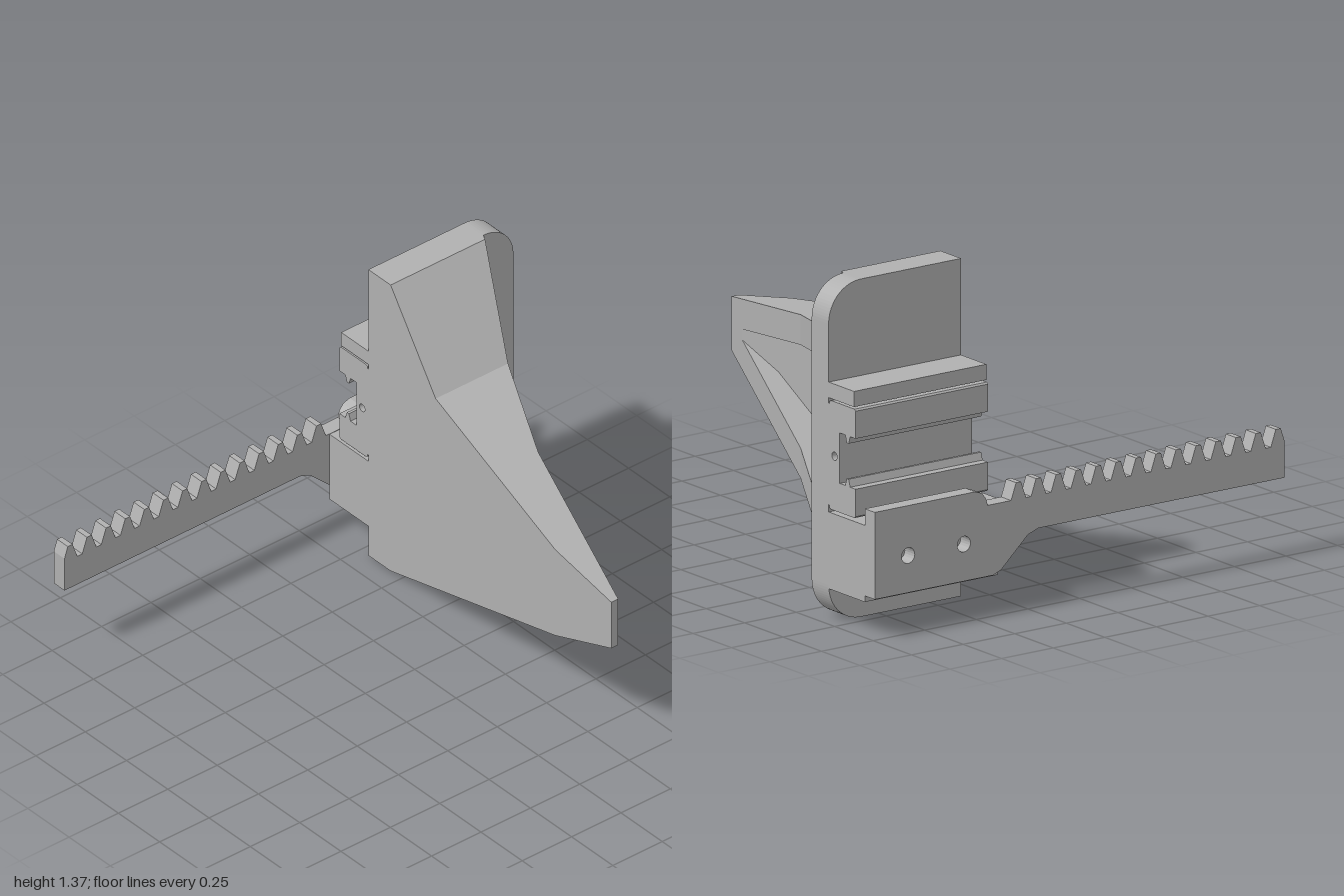
import * as THREE from 'three';

const BACK = -0.992, FRONT = -0.35;

export function createModel() {
  const group = new THREE.Group();
  const grey = new THREE.MeshStandardMaterial({ color: 0xb0b0b0, flatShading: true });
  grey.name = 'grey';

  const add = (name, geometry) => {
    const mesh = new THREE.Mesh(geometry, grey);
    mesh.name = name;
    group.add(mesh);
    return mesh;
  };
  const box = (name, x0, x1, y0, y1, z0, z1) =>
    add(name, new THREE.BoxGeometry(x1 - x0, y1 - y0, z1 - z0))
      .position.set((x0 + x1) / 2, (y0 + y1) / 2, (z0 + z1) / 2);
  const toShape = (pts) => new THREE.Shape(pts.map((p) => new THREE.Vector2(p[0], p[1])));
  const addHole = (shape, u, v, r) => {
    const hole = new THREE.Path();
    hole.absarc(u, v, r, 0, Math.PI * 2, true);
    shape.holes.push(hole);
  };
  const extrude = (shape, depth) =>
    new THREE.ExtrudeGeometry(shape, { depth, bevelEnabled: false, curveSegments: 10 });
  // Extrudes a (z, y) outline between two x positions
  const sideways = (name, shape, x0, x1) => {
    const g = extrude(shape, x1 - x0);
    g.rotateY(-Math.PI / 2);
    g.translate(x1, 0, 0);
    add(name, g);
  };

  // Mounting plate: rounded rear corners, counterbored screw holes
  const plateLayer = (name, x0, x1, holeRadius) => {
    const h = 1.365, r = 0.155, s = new THREE.Shape();
    s.moveTo(FRONT, 0);
    s.lineTo(FRONT, h);
    s.lineTo(BACK + r, h);
    s.absarc(BACK + r, h - r, r, Math.PI / 2, Math.PI, false);
    s.lineTo(BACK, r);
    s.absarc(BACK + r, r, r, Math.PI, Math.PI * 1.5, false);
    for (const [z, y] of [[-0.78, 0.855], [-0.78, 0.52], [-0.555, 0.52]]) addHole(s, z, y, holeRadius);
    sideways(name, s, x0, x1);
  };
  plateLayer('mountingPlateInner', -0.7, -0.64, 0.034);
  plateLayer('mountingPlateOuter', -0.64, -0.59, 0.066);

  // Hollow tapering finger: U-shaped sections along x
  const line = (pts) => (x) => {
    let i = 0;
    while (i < pts.length - 2 && x > pts[i + 1][0]) i++;
    const [a, b] = [pts[i], pts[i + 1]];
    return a[1] + (b[1] - a[1]) * (x - a[0]) / (b[0] - a[0]);
  };
  const bottom = line([[-0.6, 0], [-0.565, 0], [1, 0.575]]);
  const top = line([[-0.6, 1.365], [-0.565, 1.365], [-0.23, 1.03], [1, 0.795]]);
  const frontZ = line([[-0.6, FRONT], [-0.565, FRONT], [0.66, -0.16], [1, -0.16]]);
  const rearZ = line([[-0.59, -0.84], [0.21, -0.45], [1, -0.195]]);
  const floorZ = line([[-0.59, -0.417], [0.66, -0.222], [0.88, -0.222]]);
  const wall = 0.122, cavityEnd = 0.88;
  const sections = [-0.59, -0.565, -0.23, 0.21, 0.66, cavityEnd, 1].map((x) => {
    const zf = frontZ(x), zb = rearZ(x), yb = bottom(x), yt = top(x);
    const mid = (yb + yt) / 2;
    const hi = Math.max(yt - wall, mid), lo = Math.min(yb + wall, mid);
    const zi = x >= cavityEnd ? zb : floorZ(x);
    return [[zb, yb], [zf, yb], [zf, yt], [zb, yt], [zb, hi], [zi, hi], [zi, lo], [zb, lo]]
      .map(([z, y]) => [x, y, z]);
  });
  const verts = [];
  const quad = (a, b, c, d) => verts.push(...a, ...b, ...c, ...a, ...c, ...d);
  for (let i = 0; i < sections.length - 1; i++) {
    const s = sections[i], t = sections[i + 1];
    for (let j = 0; j < 8; j++) {
      const k = (j + 1) % 8;
      quad(s[j], t[j], t[k], s[k]);
    }
  }
  const tip = sections[sections.length - 1];
  quad(tip[0], tip[3], tip[2], tip[1]);
  const finger = new THREE.BufferGeometry();
  finger.setAttribute('position', new THREE.Float32BufferAttribute(verts, 3));
  finger.computeVertexNormals();
  add('finger', finger);

  // Bracket on the plate's outer side
  box('upperShelf', -0.865, -0.7, 0.912, 0.975, BACK, FRONT);
  box('lowerBlock', -0.935, -0.7, 0.14, 0.45, BACK, FRONT);

  // Slide carriage: C-shaped profile with two small ridges
  const half = [[-0.705, 0.215], [-0.715, 0.22], [-0.868, 0.22], [-0.875, 0.213], [-0.875, 0.102],
    [-0.84, 0.102], [-0.83, 0.072], [-0.818, 0.072], [-0.808, 0.102], [-0.772, 0.102]];
  const midY = 0.684;
  const carriage = toShape([
    ...half.map(([x, y]) => [x, midY + y]),
    ...half.slice().reverse().map(([x, y]) => [x, midY - y]),
  ]);
  addHole(carriage, -0.738, midY, 0.017);
  const carriageGeometry = extrude(carriage, FRONT - BACK);
  carriageGeometry.translate(0, 0, BACK);
  add('slideCarriage', carriageGeometry);
  box('carriageBacking', -0.706, -0.7, 0.48, 0.89, BACK, FRONT);

  // Gear rack with its mounting tab
  const root = 0.452, peak = 0.52, pitch = 0.0968;
  const rack = [[BACK, 0.165], [-0.42, 0.165], [-0.38, 0.18], [-0.25, 0.3], [-0.2, 0.318], [0.992, 0.318]];
  rack.push([0.992, 0.47]);
  for (let i = 0; i < 14; i++) {
    const z = 0.963 - i * pitch;
    if (i > 0) rack.push([z + 0.036, root]);
    rack.push([z + 0.012, peak], [z - 0.012, peak], [z - 0.036, root]);
  }
  rack.push([-0.445, root], [-0.453, 0.48], [-0.472, 0.505], [-0.505, 0.517], [BACK, 0.517]);
  const rackShape = toShape(rack);
  for (const z of [-0.83, -0.56]) addHole(rackShape, z, 0.315, 0.032);
  sideways('gearRack', rackShape, -1, -0.935);

  return group;
}
